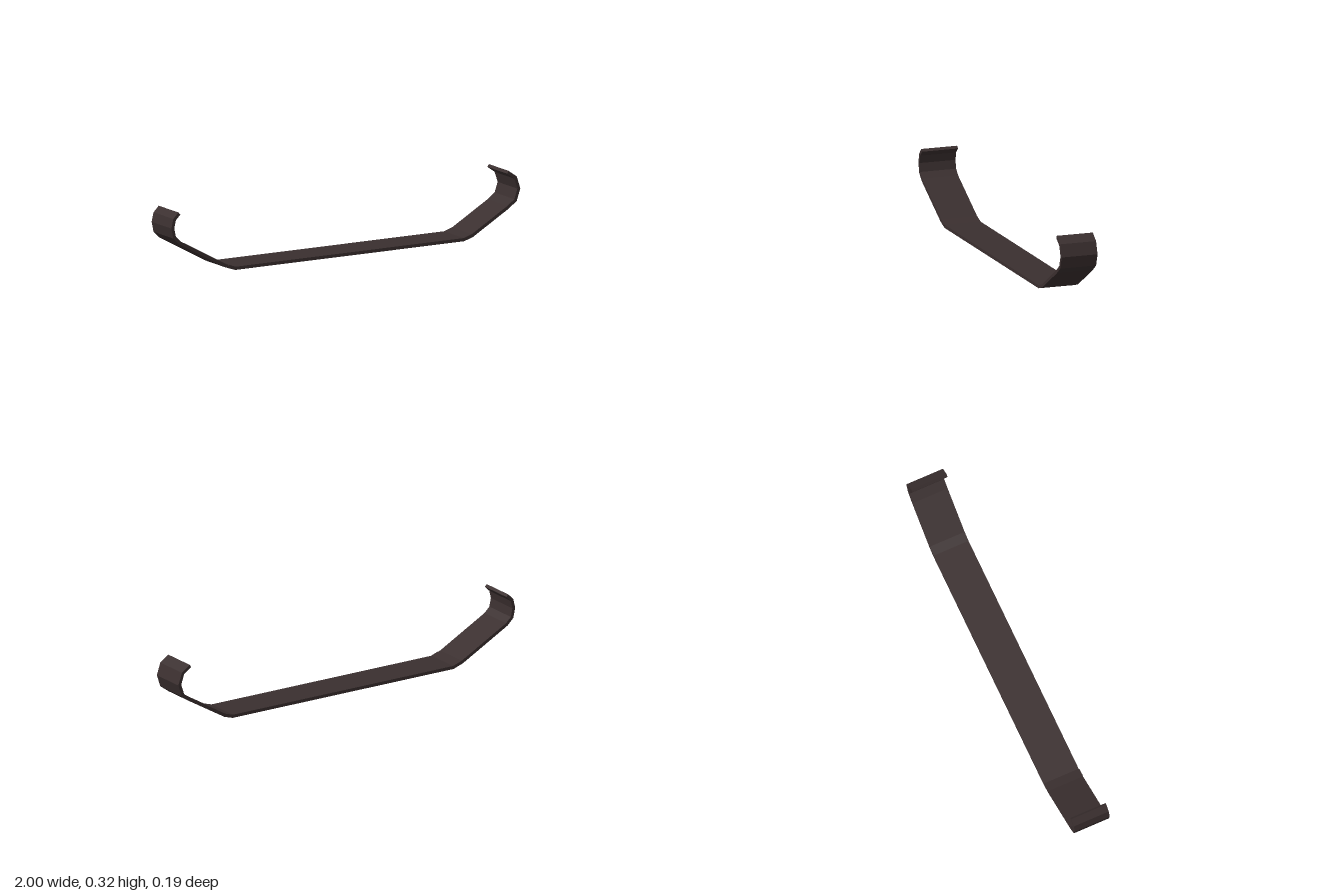
import * as THREE from 'three';

const THICKNESS = 0.016;
const BACK = -0.095;
const FRONT = 0.093;

// Centreline of the bent strip, from one hooked end to the other
const PATH = [
  [-0.953, 0.318], [-0.981, 0.29], [-0.991, 0.247], [-0.981, 0.2], [-0.95, 0.17],
  [-0.686, 0.026], [-0.633, 0.008], [0.675, 0.008], [0.723, 0.023],
  [0.926, 0.142], [0.97, 0.174], [0.989, 0.23], [0.97, 0.287], [0.926, 0.318],
].map(([x, y]) => new THREE.Vector2(x, y));

// Shifts the centreline sideways with mitred corners
function offsetPath(points, distance) {
  const normal = (a, b) => {
    const d = b.clone().sub(a).normalize();
    return new THREE.Vector2(-d.y, d.x);
  };
  return points.map((p, i) => {
    const before = normal(points[Math.max(i - 1, 0)], points[Math.max(i, 1)]);
    const last = points.length - 1;
    const after = normal(points[Math.min(i, last - 1)], points[Math.min(i + 1, last)]);
    const mitre = before.clone().add(after).normalize();
    return p.clone().addScaledVector(mitre, distance / mitre.dot(before));
  });
}

export function createModel() {
  const group = new THREE.Group();
  group.name = 'bentHandle';
  const darkMetal = new THREE.MeshStandardMaterial({ color: 0x3a2f2f });
  darkMetal.name = 'darkMetal';

  // Flat strip with upturned, hooked ends
  const outline = [
    ...offsetPath(PATH, -THICKNESS / 2),
    ...offsetPath(PATH, THICKNESS / 2).reverse(),
  ];
  const geometry = new THREE.ExtrudeGeometry(new THREE.Shape(outline), {
    depth: FRONT - BACK, bevelEnabled: false,
  });
  geometry.translate(0, 0, BACK);
  const strip = new THREE.Mesh(geometry, darkMetal);
  strip.name = 'strip';
  group.add(strip);

  // Tiny raised plate on the front edge at one bend
  const tab = new THREE.Mesh(new THREE.BoxGeometry(0.042, 0.01, 0.004), darkMetal);
  tab.name = 'edgeTab';
  tab.position.set(-0.655, 0.019, 0.093);
  tab.rotation.z = -0.33;
  group.add(tab);

  return group;
}
